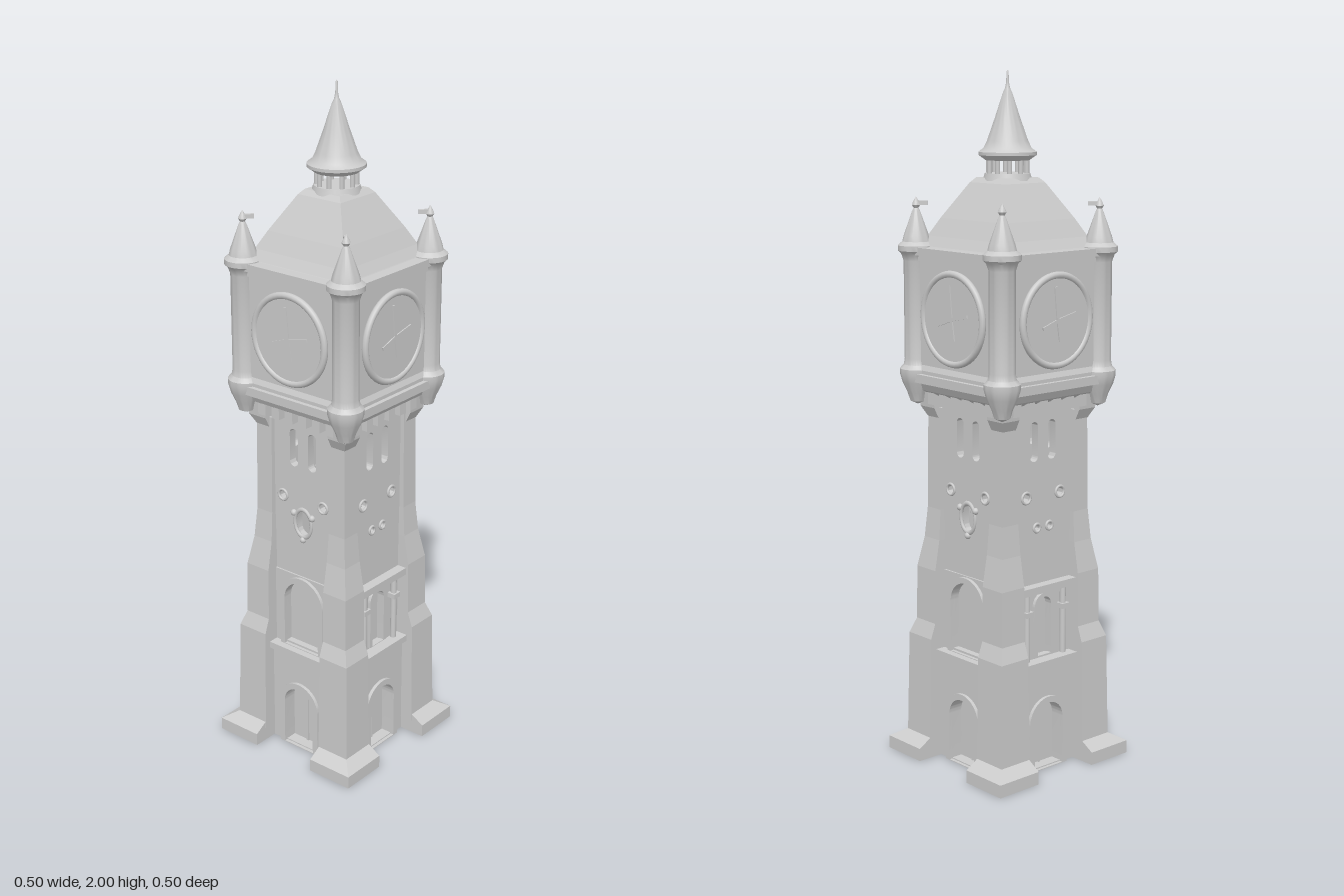
import * as THREE from 'three';
import { toCreasedNormals } from 'three/addons/utils/BufferGeometryUtils.js';

const mat = new THREE.MeshStandardMaterial({ color: 0xcccccc, side: THREE.DoubleSide });

function add(parent, name, geo, x = 0, y = 0, z = 0) {
  const m = new THREE.Mesh(geo, mat);
  m.name = name;
  m.position.set(x, y, z);
  parent.add(m);
  return m;
}

// Box given by its limits
function block(parent, name, x0, x1, y0, y1, z0, z1) {
  return add(parent, name, new THREE.BoxGeometry(x1 - x0, y1 - y0, z1 - z0),
    (x0 + x1) / 2, (y0 + y1) / 2, (z0 + z1) / 2);
}

// Square sections [inner, outer, y] stacked upwards and closed at both ends
function loft(sections) {
  const rings = sections.map(([a, b, y]) => [[a, y, a], [a, y, b], [b, y, b], [b, y, a]]);
  const pos = [];
  const quad = (a, b, c, d) => pos.push(...a, ...b, ...c, ...a, ...c, ...d);
  for (let i = 0; i < rings.length - 1; i++)
    for (let j = 0; j < 4; j++) {
      const k = (j + 1) % 4;
      quad(rings[i][j], rings[i][k], rings[i + 1][k], rings[i + 1][j]);
    }
  quad(...[...rings[0]].reverse());
  quad(...rings[rings.length - 1]);
  const g = new THREE.BufferGeometry();
  g.setAttribute('position', new THREE.Float32BufferAttribute(pos, 3));
  g.computeVertexNormals();
  return g;
}

function lathe(points, sides = 32) {
  const g = new THREE.LatheGeometry(points.map(p => new THREE.Vector2(...p)), sides);
  return toCreasedNormals(g, 0.6);
}

// Round-headed outline: half width w, from y0 to the crown y1
function arch(w, y0, y1, x = 0, Type = THREE.Path) {
  const p = new Type();
  p.moveTo(x - w, y0);
  p.lineTo(x + w, y0);
  p.lineTo(x + w, y1 - w);
  p.absarc(x, y1 - w, w, 0, Math.PI, false);
  p.lineTo(x - w, y0);
  return p;
}

function slot(x, y0, y1, w) {
  const p = new THREE.Path();
  p.absarc(x, y1 - w, w, 0, Math.PI, false);
  p.absarc(x, y0 + w, w, Math.PI, Math.PI * 2, false);
  p.closePath();
  return p;
}

function extrude(shape, depth) {
  const g = new THREE.ExtrudeGeometry(shape, { depth, bevelEnabled: false, curveSegments: 16 });
  return toCreasedNormals(g, 0.6);
}

// Wall panel with openings, between z0 and z1
function panel(parent, name, y0, y1, z0, z1, holes) {
  const s = new THREE.Shape([[-0.12, y0], [0.12, y0], [0.12, y1], [-0.12, y1]]
    .map(p => new THREE.Vector2(...p)));
  s.holes.push(...holes);
  add(parent, name, extrude(s, z1 - z0), 0, 0, z0);
}

function archFrame(parent, name, w, t, y0, y1, z, depth) {
  const s = arch(w + t, y0, y1 + t, 0, THREE.Shape);
  s.holes.push(arch(w, y0 + 0.002, y1));
  add(parent, name, extrude(s, depth), 0, 0, z);
}

function roundWindow(parent, x, y, r) {
  add(parent, 'roundWindowFrame', new THREE.TorusGeometry(r + 0.003, 0.004, 8, 20), x, y, 0.152);
  const back = add(parent, 'roundWindowBack', new THREE.CylinderGeometry(r + 0.004, r + 0.004, 0.006, 20), x, y, 0.127);
  back.rotation.x = Math.PI / 2;
}

function clock(parent) {
  const y = 1.32;
  add(parent, 'clockRim', new THREE.TorusGeometry(0.126, 0.01, 10, 48), 0, y, 0.204);
  const dial = add(parent, 'clockDial', new THREE.CylinderGeometry(0.122, 0.122, 0.01, 48), 0, y, 0.203);
  dial.rotation.x = Math.PI / 2;
  for (const [len, angle] of [[0.095, 0.1], [0.07, -1.35], [0.06, 1.9], [0.06, 3.3]]) {
    const hand = add(parent, 'clockHand', new THREE.BoxGeometry(0.009, len, 0.005).translate(0, len / 2, 0), 0, y, 0.209);
    hand.rotation.z = angle;
  }
}

function makeFace(isSide) {
  const f = new THREE.Group();
  f.name = isSide ? 'sideFace' : 'mainFace';

  // Ground floor door and ledge
  panel(f, 'lowerWall', 0, 0.33, 0.13, 0.17, [arch(0.055, 0.005, 0.2)]);
  archFrame(f, 'doorFrame', 0.055, 0.018, 0, 0.2, 0.165, 0.015);
  block(f, 'doorLeafSeam', -0.003, 0.003, 0, 0.19, 0.13, 0.14);
  block(f, 'lowerLedge', -0.112, 0.112, 0.312, 0.332, 0.15, 0.187);

  // First floor opening
  if (isSide) {
    panel(f, 'middleWall', 0.33, 0.57, 0.13, 0.15, [arch(0.026, 0.34, 0.515)]);
    archFrame(f, 'nicheFrame', 0.026, 0.012, 0.34, 0.515, 0.145, 0.015);
    for (const x of [-0.07, 0.07]) {
      add(f, 'nicheColumn', new THREE.CylinderGeometry(0.009, 0.009, 0.2, 12), x, 0.435, 0.162);
      block(f, 'columnCapital', x - 0.014, x + 0.014, 0.47, 0.485, 0.148, 0.176);
    }
    block(f, 'nicheLintel', -0.11, 0.11, 0.535, 0.557, 0.14, 0.18);
  } else {
    panel(f, 'middleWall', 0.33, 0.57, 0.13, 0.155, [arch(0.064, 0.34, 0.55)]);
    archFrame(f, 'windowFrame', 0.064, 0.017, 0.332, 0.55, 0.148, 0.017);
  }

  // Upper shaft with paired lancets and round openings
  const round = isSide ? [[0.065, 0.815, 0.013], [0.024, 0.722, 0.009]] : [[0.075, 0.815, 0.013]];
  const holes = [slot(-0.034, 0.915, 1.03, 0.015), slot(0.034, 0.915, 1.03, 0.015)];
  for (const [x, y, r] of round)
    for (const s of [-1, 1]) {
      holes.push(slot(s * x, y - r, y + r, r));
      roundWindow(f, s * x, y, r);
    }
  if (!isSide) {
    holes.push(slot(0, 0.7, 0.788, 0.026));
    for (const [x, y] of [[-0.034, 0.77], [0.034, 0.77], [0, 0.692]])
      add(f, 'rosetteBoss', new THREE.SphereGeometry(0.01, 12, 8), x, y, 0.152);
    add(f, 'rosetteFrame', new THREE.TorusGeometry(0.031, 0.005, 8, 28).scale(1, 1.4, 1), 0, 0.744, 0.151);
  }
  panel(f, 'upperWall', 0.57, 1.09, 0.125, 0.15, holes);

  // Corbels and mouldings below the clock storey
  for (let i = 0; i < 6; i++) {
    const x = -0.125 + i * 0.05;
    block(f, 'corbel', x - 0.014, x + 0.014, 1.06, 1.1, 0.14, 0.182);
  }
  block(f, 'lowerMoulding', -0.18, 0.18, 1.125, 1.15, 0.17, 0.218);
  block(f, 'upperMoulding', -0.18, 0.18, 1.488, 1.51, 0.15, 0.214);
  block(f, 'panelTopBand', -0.15, 0.15, 1.472, 1.488, 0.18, 0.205);
  clock(f);
  return f;
}

function makeCorner() {
  const c = new THREE.Group();
  c.name = 'corner';
  add(c, 'plinth', loft([[0.106, 0.252, 0], [0.106, 0.252, 0.038], [0.106, 0.212, 0.062]]));
  add(c, 'buttress', loft([[0.105, 0.212, 0.04], [0.105, 0.206, 0.365], [0.105, 0.19, 0.41],
    [0.105, 0.188, 0.57], [0.105, 0.172, 0.66], [0.107, 0.165, 0.75], [0.107, 0.162, 1.05]]));
  add(c, 'buttressCap', loft([[0.115, 0.163, 1.02], [0.115, 0.178, 1.05], [0.115, 0.182, 1.1]]));
  add(c, 'turret', lathe([[0, 1.055], [0.022, 1.065], [0.03, 1.09], [0.044, 1.12], [0.051, 1.145],
    [0.051, 1.16], [0.04, 1.172], [0.037, 1.19], [0.037, 1.47], [0.044, 1.49], [0.053, 1.498],
    [0.053, 1.513], [0.04, 1.524], [0.036, 1.54], [0.011, 1.61], [0.007, 1.618], [0.012, 1.626],
    [0.008, 1.636], [0, 1.65]]), 0.183, 0, 0.183);
  const vane = add(c, 'turretVane', new THREE.BoxGeometry(0.01, 0.012, 0.036), 0.173, 1.632, 0.173);
  vane.rotation.y = Math.PI / 4;
  return c;
}

export function createModel() {
  const tower = new THREE.Group();
  tower.name = 'clockTower';

  // Four faces and four corners
  for (let i = 0; i < 4; i++) {
    const face = makeFace(i % 2 === 1), corner = makeCorner();
    face.rotation.y = corner.rotation.y = i * Math.PI / 2;
    tower.add(face, corner);
  }

  // Solid cores
  block(tower, 'lowerCore', -0.135, 0.135, 0, 0.58, -0.135, 0.135);
  add(tower, 'clockStoreyBase', loft([[-0.165, 0.165, 1.085], [-0.192, 0.192, 1.1], [-0.205, 0.205, 1.125], [-0.205, 0.205, 1.16], [-0.198, 0.198, 1.175]]));
  block(tower, 'clockStorey', -0.198, 0.198, 1.15, 1.5, -0.198, 0.198);

  // Roof
  add(tower, 'roof', loft([[-0.19, 0.19, 1.495], [-0.177, 0.177, 1.512], [-0.16, 0.16, 1.54],
    [-0.134, 0.134, 1.59], [-0.075, 0.075, 1.69], [-0.062, 0.062, 1.704]]));

  // Open lantern
  add(tower, 'lanternBase', new THREE.CylinderGeometry(0.064, 0.07, 0.02, 32), 0, 1.706, 0);
  for (let i = 0; i < 10; i++) {
    const a = (i + 0.5) * Math.PI / 5;
    add(tower, 'lanternPost', new THREE.CylinderGeometry(0.007, 0.007, 0.05, 10), 0.055 * Math.sin(a), 1.735, 0.055 * Math.cos(a));
  }

  // Spire and finial
  add(tower, 'spire', lathe([[0, 1.752], [0.062, 1.752], [0.07, 1.758], [0.082, 1.766], [0.082, 1.775],
    [0.068, 1.785], [0.058, 1.805], [0.035, 1.87], [0.014, 1.935], [0.007, 1.95], [0.004, 1.965], [0.003, 1.995], [0, 2]], 40));
  return tower;
}
